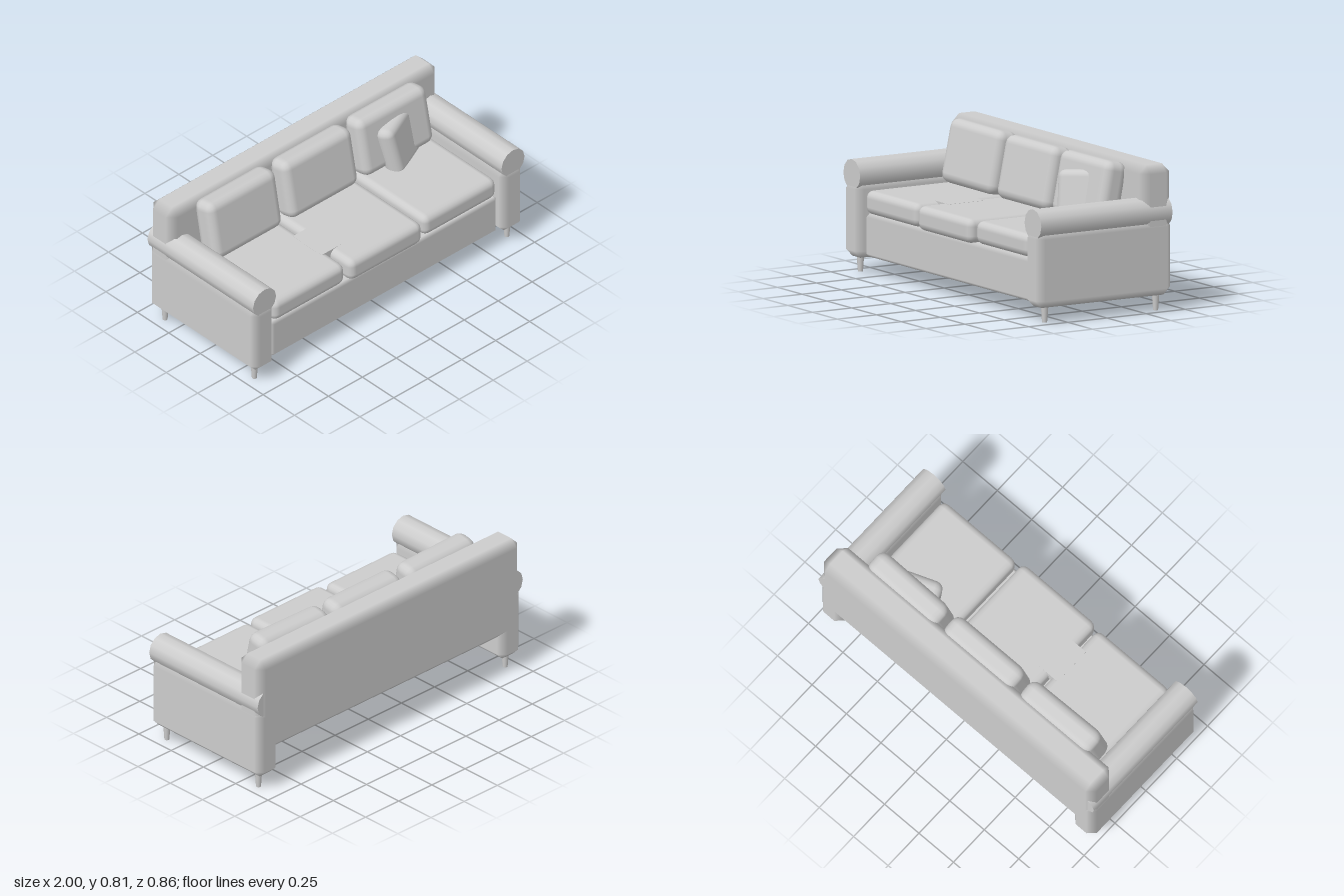
import * as THREE from 'three';
import { RoundedBoxGeometry } from 'three/addons/geometries/RoundedBoxGeometry.js';

const fabric = new THREE.MeshStandardMaterial({ color: 0xcccccc });
fabric.name = 'light grey fabric';

// Box with one flat bevel per edge; each vertex keeps its face normal for soft bevel shading
function chamferBox(w, h, d, c) {
  const half = [w / 2, h / 2, d / 2];
  const pos = [], nor = [], idx = [];
  const id = (s, axis) => ((s[0] > 0 ? 4 : 0) + (s[1] > 0 ? 2 : 0) + (s[2] > 0 ? 1 : 0)) * 3 + axis;
  const signs = [-1, 1];
  for (const sx of signs) for (const sy of signs) for (const sz of signs) {
    const s = [sx, sy, sz];
    for (let a = 0; a < 3; a++) {
      for (let k = 0; k < 3; k++) {
        pos.push(s[k] * (half[k] - (k === a ? 0 : c)));
        nor.push(k === a ? s[k] : 0);
      }
    }
  }
  const point = (i) => new THREE.Vector3().fromArray(pos, i * 3);
  // Add a triangle, turned to face outward
  const tri = (i, j, k) => {
    const a = point(i), b = point(j), e = point(k);
    const n = b.clone().sub(a).cross(e.clone().sub(a));
    if (n.dot(a) > 0) idx.push(i, j, k);
    else idx.push(i, k, j);
  };
  const quad = (i, j, k, l) => { tri(i, j, k); tri(i, k, l); };
  for (let a = 0; a < 3; a++) {
    const b = (a + 1) % 3, e = (a + 2) % 3;
    const S = (x, y, z) => { const s = []; s[a] = x; s[b] = y; s[e] = z; return s; };
    for (const p of signs) {
      quad(id(S(p, -1, -1), a), id(S(p, 1, -1), a), id(S(p, 1, 1), a), id(S(p, -1, 1), a));
      for (const q of signs) { // bevel running along axis a
        quad(id(S(-1, p, q), b), id(S(1, p, q), b), id(S(1, p, q), e), id(S(-1, p, q), e));
      }
    }
  }
  for (let i = 0; i < 8; i++) tri(i * 3, i * 3 + 1, i * 3 + 2);
  const g = new THREE.BufferGeometry();
  g.setAttribute('position', new THREE.Float32BufferAttribute(pos, 3));
  g.setAttribute('normal', new THREE.Float32BufferAttribute(nor, 3));
  g.setIndex(idx);
  return g;
}

export function createModel() {
  const sofa = new THREE.Group();
  sofa.name = 'sofa';

  const add = (name, geometry, x, y, z, rx = 0, ry = 0, rz = 0) => {
    const m = new THREE.Mesh(geometry, fabric);
    m.name = name;
    m.position.set(x, y, z);
    m.rotation.set(rx, ry, rz, 'YXZ');
    sofa.add(m);
    return m;
  };
  // Bevelled box given by its extents
  const block = (name, x0, x1, y0, y1, z0, z1, c) =>
    add(name, chamferBox(x1 - x0, y1 - y0, z1 - z0, c), (x0 + x1) / 2, (y0 + y1) / 2, (z0 + z1) / 2);

  // Frame
  block('seatBase', -0.83, 0.83, 0.1, 0.335, -0.22, 0.39, 0.017);
  block('backrest', -0.99, 0.99, 0.23, 0.805, -0.43, -0.24, 0.045);

  // Arms with rolled tops, and tapered legs
  const rollGeometry = new THREE.CylinderGeometry(0.085, 0.085, 0.84, 12).rotateX(Math.PI / 2);
  const legGeometry = new THREE.CylinderGeometry(0.021, 0.014, 0.1, 12);
  for (const [side, s] of [['left', 1], ['right', -1]]) {
    const arm = block(side + 'Arm', 0.835, 0.995, 0.085, 0.505, -0.43, 0.43, 0.04);
    arm.position.x *= s;
    add(side + 'ArmRoll', rollGeometry, s * 0.915, 0.54, 0);
    add(side + 'FrontLeg', legGeometry, s * 0.93, 0.05, 0.355);
    add(side + 'BackLeg', legGeometry, s * 0.93, 0.05, -0.355);
  }

  // Seat cushions: x range, bottom, front edge
  const seats = [
    ['rightSeatCushion', -0.825, -0.295, 0.335, 0.4],
    ['middleSeatCushion', -0.275, 0.262, 0.33, 0.415],
    ['leftSeatCushion', 0.285, 0.823, 0.338, 0.397],
  ];
  for (const [name, x0, x1, y0, z1] of seats) {
    add(name, new RoundedBoxGeometry(x1 - x0, 0.466 - y0, z1 + 0.27, 2, 0.042),
      (x0 + x1) / 2, (y0 + 0.466) / 2, (z1 - 0.27) / 2);
  }
  // Small pad bridging the gap between two seat cushions
  add('seatPad', new THREE.BoxGeometry(0.14, 0.06, 0.23), -0.27, 0.437, 0.137);

  // Leaning back cushions
  const backGeometry = new RoundedBoxGeometry(0.51, 0.355, 0.145, 2, 0.052);
  add('rightBackCushion', backGeometry, -0.56, 0.633, -0.172, -0.2, 0.015, -0.012);
  add('middleBackCushion', backGeometry, -0.003, 0.628, -0.172, -0.2, 0, 0);
  add('leftBackCushion', backGeometry, 0.548, 0.63, -0.172, -0.2, -0.015, 0.01);

  // Throw pillow
  add('throwPillow', new RoundedBoxGeometry(0.31, 0.31, 0.11, 2, 0.045),
    0.575, 0.585, -0.12, -0.2, 0.38, 0.1);

  return sofa;
}
